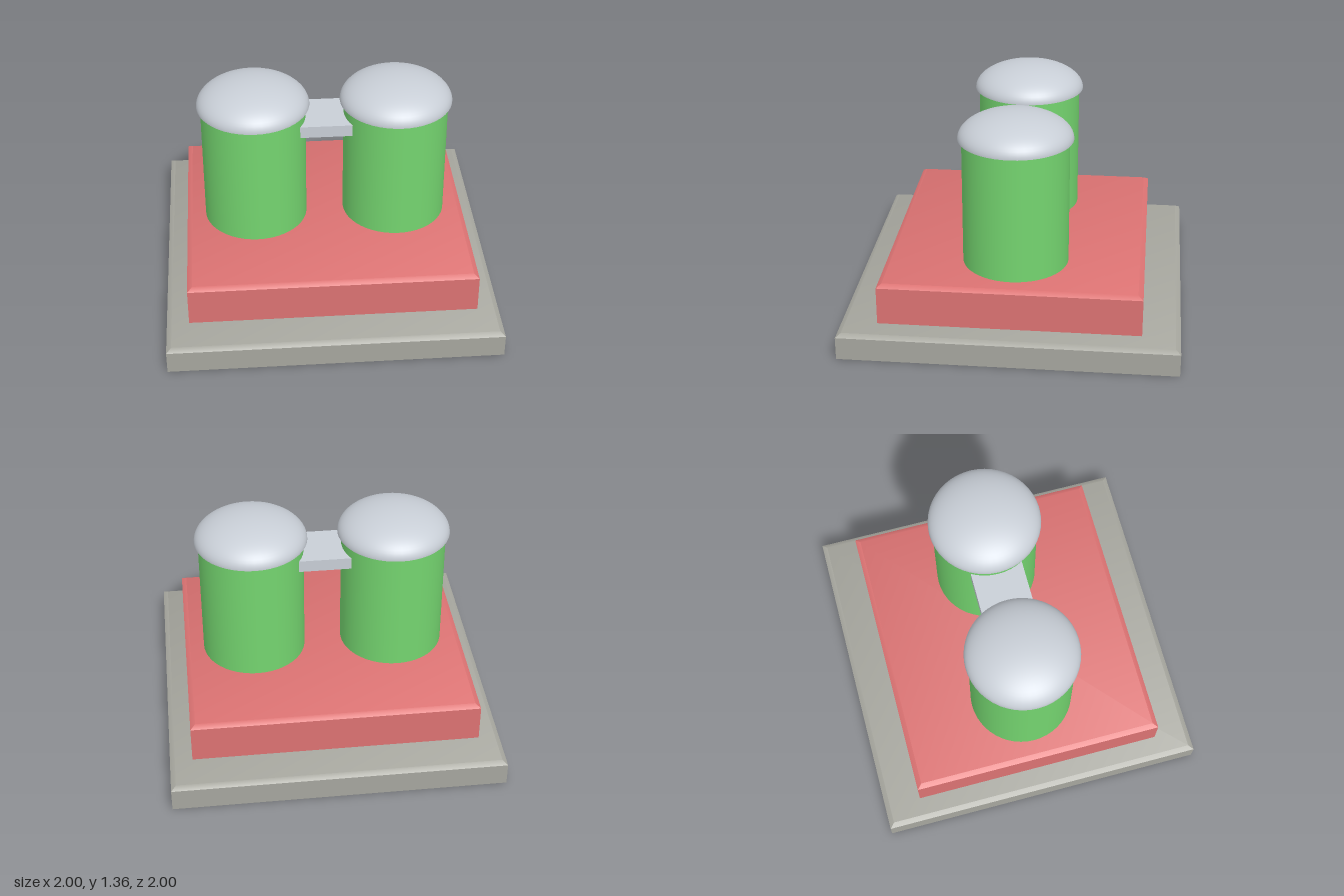
import * as THREE from 'three';
import { toCreasedNormals } from 'three/addons/utils/BufferGeometryUtils.js';

const material = (name, color) => {
  const m = new THREE.MeshStandardMaterial({ color });
  m.name = name;
  return m;
};

// Slab with a small bevel around its top edge, shaded softly across the top
function slabGeometry(width, depth, bottom, top) {
  const inset = 0.03, drop = 0.02;
  const g = new THREE.BoxGeometry(width, 1, depth, 1, 2, 1);
  const p = g.attributes.position;
  for (let i = 0; i < p.count; i++) {
    const level = p.getY(i);
    if (level > 0.25) {
      p.setXYZ(i, p.getX(i) - Math.sign(p.getX(i)) * inset, top, p.getZ(i) - Math.sign(p.getZ(i)) * inset);
    } else {
      p.setY(i, level < -0.25 ? bottom : top - drop);
    }
  }
  return toCreasedNormals(g, Math.PI / 4);
}

export function createModel() {
  const model = new THREE.Group();
  model.name = 'twinTankPlatform';
  const stone = material('stoneGrey', 0xa6a69e);
  const red = material('softRed', 0xdb7272);
  const green = material('leafGreen', 0x74d46f);
  const silver = material('paleSilver', 0xc8ced6);

  const add = (name, geometry, mat, x = 0, y = 0, parent = model) => {
    const mesh = new THREE.Mesh(geometry, mat);
    mesh.name = name;
    mesh.position.set(x, y, 0);
    parent.add(mesh);
    return mesh;
  };

  // Stacked slabs, with a narrow gap between them
  add('groundSlab', slabGeometry(2, 2, 0, 0.16), stone);
  add('platform', slabGeometry(1.73, 1.55, 0.175, 0.425), red);

  // Two tanks with overhanging domed caps
  const bodyGeometry = new THREE.CylinderGeometry(0.317, 0.317, 0.79, 48);
  const domeGeometry = new THREE.SphereGeometry(0.34, 48, 16, 0, Math.PI * 2, 0, Math.PI / 2);
  domeGeometry.scale(1, 0.155 / 0.34, 1);
  const rimGeometry = new THREE.CircleGeometry(0.34, 48).rotateX(Math.PI / 2);
  for (const side of [-1, 1]) {
    const tank = new THREE.Group();
    tank.name = side > 0 ? 'leftTank' : 'rightTank';
    tank.position.x = side * 0.432;
    model.add(tank);
    add('tankBody', bodyGeometry, green, 0, 0.815, tank);
    add('tankDome', domeGeometry, silver, 0, 1.205, tank);
    add('domeUnderside', rimGeometry, silver, 0, 1.205, tank);
  }

  // Walkway joining the tanks
  add('walkway', new THREE.BoxGeometry(0.315, 0.075, 0.315), silver, 0, 1.087);

  return model;
}
